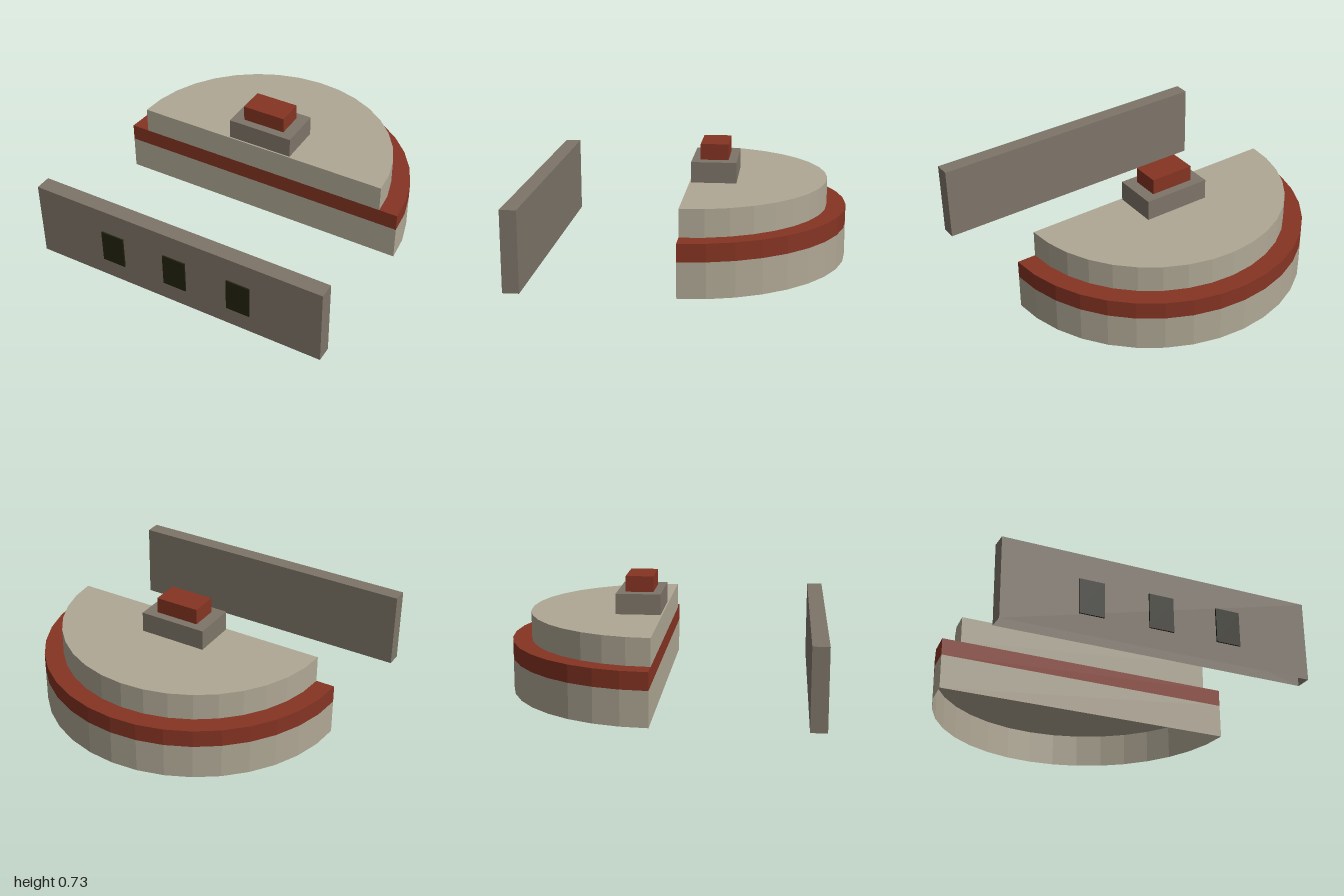
import * as THREE from 'three';
import { mergeGeometries } from 'three/addons/utils/BufferGeometryUtils.js';

const material = (name, color) =>
  new THREE.MeshStandardMaterial({ name, color, side: THREE.DoubleSide });

// Half drum with a flat front at z = 0, open underneath, flat-shaded facets
function halfDrum(radius, y0, y1) {
  const h = y1 - y0, segments = 18;
  const curve = new THREE.CylinderGeometry(radius, radius, h, segments, 1, true, Math.PI / 2, Math.PI);
  const front = new THREE.PlaneGeometry(radius * 2, h);
  const top = new THREE.CircleGeometry(radius, segments, 0, Math.PI)
    .rotateX(-Math.PI / 2).translate(0, h / 2, 0);
  const geometry = mergeGeometries([curve, front, top]).toNonIndexed();
  geometry.computeVertexNormals();
  return geometry.translate(0, (y0 + y1) / 2, 0);
}

// Box given by its limits, open underneath
function openBox(halfWidth, y0, y1, z0, z1) {
  const geometry = new THREE.BoxGeometry(halfWidth * 2, y1 - y0, z1 - z0);
  const index = Array.from(geometry.index.array);
  index.splice(18, 6); // drop the bottom face
  geometry.setIndex(index);
  geometry.clearGroups();
  return geometry.translate(0, (y0 + y1) / 2, (z0 + z1) / 2);
}

export function createModel() {
  const model = new THREE.Group();
  const stone = material('pale stone', 0xb0a895);
  const grey = material('grey stone', 0x7e7569);
  const red = material('brick red', 0x853423);
  const dark = material('dark opening', 0x24220f);

  const add = (name, geometry, mat, x = 0, y = 0, z = 0) => {
    const mesh = new THREE.Mesh(geometry, mat);
    mesh.name = name;
    mesh.position.set(x, y, z);
    model.add(mesh);
  };

  // Stepped half-round building
  const frontZ = -0.025;
  add('lowerDrum', halfDrum(0.975, 0, 0.22), stone, 0, 0, frontZ);
  add('redBand', halfDrum(0.975, 0.22, 0.33), red, 0, 0, frontZ);
  add('upperDrum', halfDrum(0.855, 0.33, 0.5), stone, 0, 0, frontZ);

  // Roof block and its cap
  add('roofBlock', openBox(0.217, 0.5, 0.63, -0.317, -0.035), grey);
  add('roofCap', openBox(0.142, 0.63, 0.73, -0.263, -0.088), red);

  // Free-standing front wall with three openings
  add('frontWall', openBox(0.975, 0, 0.5, 0.89, 0.991), grey);
  for (const x of [-0.435, 0, 0.435]) {
    add('window', new THREE.BoxGeometry(0.155, 0.215, 0.009), dark, x, 0.2325, 0.9955);
  }
  return model;
}
